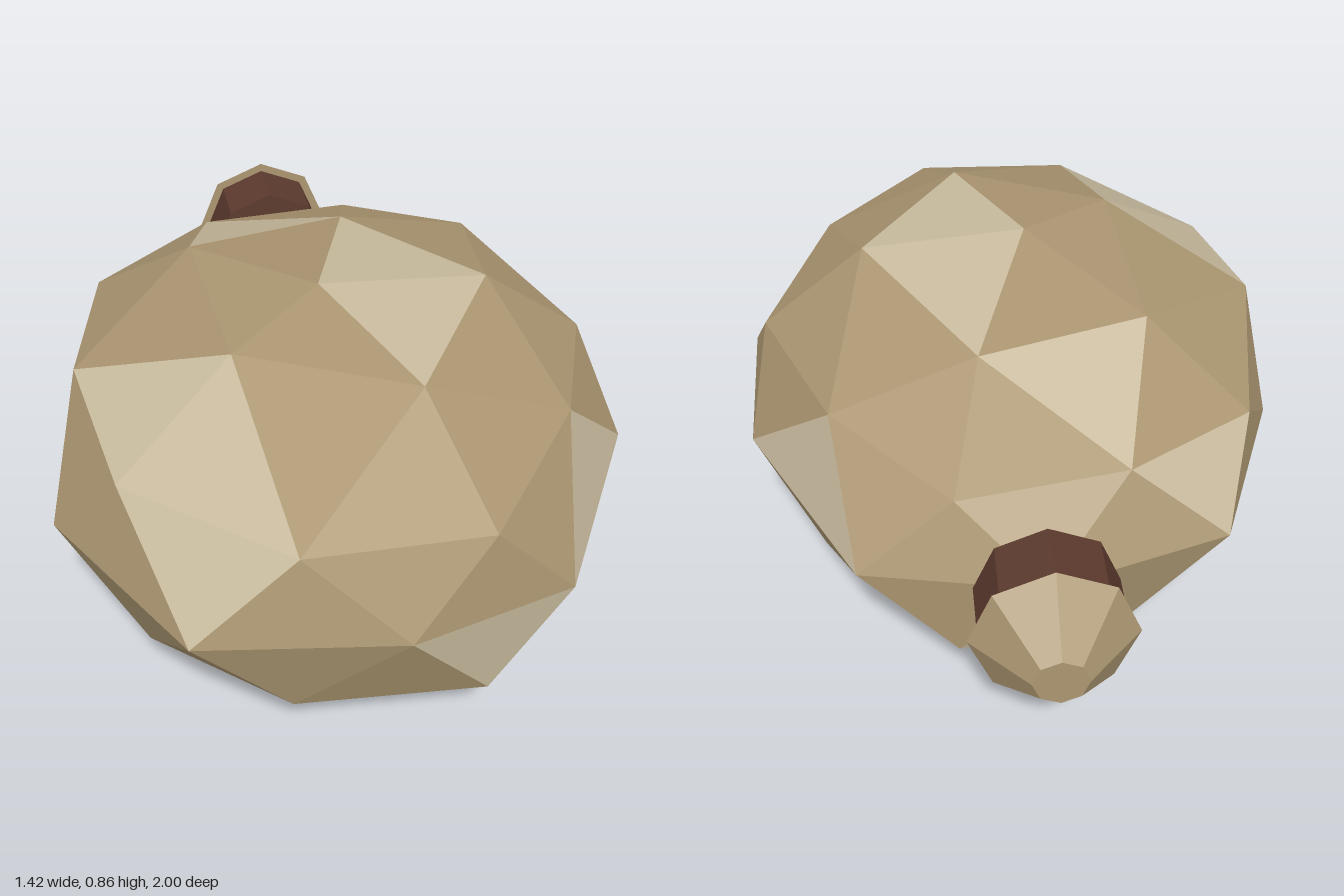
import * as THREE from 'three';

const mat = (name, color) => {
  const m = new THREE.MeshStandardMaterial({ color });
  m.name = name;
  return m;
};

// Cross-sections of the faceted body, top to bottom, each running from +x towards +z
const rings = {
  p: [[-0.03, 0.86, 0.19]],
  t: [[0.39, 0.83, 0.18], [0.13, 0.815, 0.59], [-0.27, 0.82, 0.39], [-0.3, 0.8, -0.15], [0.12, 0.785, -0.26]],
  u: [[0.655, 0.635, 0.15], [0.49, 0.68, 0.56], [0.21, 0.655, 0.92], [-0.21, 0.65, 0.91], [-0.56, 0.62, 0.56],
    [-0.625, 0.67, 0.16], [-0.535, 0.62, -0.32], [-0.21, 0.65, -0.545], [0.2, 0.635, -0.6], [0.48, 0.69, -0.33]],
  e: [[0.71, 0.435, 0.37], [0.41, 0.445, 0.89], [0.015, 0.45, 1], [-0.45, 0.45, 0.925], [-0.71, 0.42, 0.43],
    [-0.64, 0.44, -0.09], [-0.45, 0.45, -0.57], [0, 0.45, -0.71], [0.43, 0.455, -0.63], [0.695, 0.445, -0.1]],
  l: [[0.62, 0.225, 0.15], [0.53, 0.23, 0.62], [0.22, 0.195, 0.915], [-0.225, 0.215, 0.9], [-0.515, 0.18, 0.6],
    [-0.64, 0.22, 0.15], [-0.51, 0.2, -0.29], [-0.2, 0.22, -0.6], [0.2, 0.22, -0.66], [0.52, 0.235, -0.28]],
  b: [[0.32, 0.05, 0.41], [-0.12, 0.05, 0.6], [-0.4, 0.075, 0.15], [-0.12, 0.065, -0.34], [0.32, 0.06, -0.1]],
  q: [[0, 0, 0.18]],
};

// Facets painted in the lighter tone, named by their corners
const paleFacets = new Set(['p0t0t1', 'p0t0t4', 't3t4u7', 'e6u6u7', 't2u4u5', 't2u3u4', 'e3u3u4', 'e0e1u1',
  'e8e9u9', 'e1e2l2', 'e9l0l9', 'e7l7l8', 'b0b4q0', 'b3b4q0']);

function bodyFacets() {
  const faces = [];
  const id = (r, i) => r + ((i + rings[r].length) % rings[r].length);
  // One half of the body: pole, ring of five, ring of ten, then the shared equator
  const half = (pole, five, ten, shift, flip) => {
    const add = (a, b, c) => faces.push(flip ? [a, c, b] : [a, b, c]);
    for (let k = 0; k < 5; k++) {
      const j = 2 * k + shift;
      add(id(pole, 0), id(five, k + 1), id(five, k));
      add(id(five, k), id(ten, j + 1), id(ten, j));
      add(id(five, k), id(five, k + 1), id(ten, j + 1));
      add(id(five, k + 1), id(ten, j + 2), id(ten, j + 1));
    }
    for (let j = 0; j < 10; j++) {
      add(id(ten, j), id(ten, j + 1), id('e', j));
      add(id(ten, j + 1), id('e', j + 1), id('e', j));
    }
  };
  half('p', 't', 'u', 0, false);
  half('q', 'b', 'l', 1, true);
  return faces;
}

function facetMesh(name, faces, material) {
  const pos = faces.flat().flatMap((v) => rings[v[0]][+v[1]]);
  const g = new THREE.BufferGeometry();
  g.setAttribute('position', new THREE.Float32BufferAttribute(pos, 3));
  g.computeVertexNormals();
  const m = new THREE.Mesh(g, material);
  m.name = name;
  return m;
}

// Eight-sided piece lying along z, from z0 back to z1
function octagon(name, r0, r1, z0, z1, material) {
  const g = new THREE.CylinderGeometry(r1, r0, z0 - z1, 8).toNonIndexed();
  g.computeVertexNormals();
  g.rotateX(-Math.PI / 2);
  const m = new THREE.Mesh(g, material);
  m.position.set(0, 0.465, (z0 + z1) / 2);
  m.name = name;
  return m;
}

export function createModel() {
  const tan = mat('tan hide', 0xab9671);
  const pale = mat('pale hide', 0xc8bb9e);
  const brown = mat('brown neck', 0x5c3a2e);

  const model = new THREE.Group();
  model.name = 'flask';

  // Body
  const isPale = (f) => paleFacets.has([...f].sort().join(''));
  const faces = bodyFacets();
  const body = new THREE.Group();
  body.name = 'body';
  body.add(facetMesh('bodyHide', faces.filter((f) => !isPale(f)), tan));
  body.add(facetMesh('bodyPalePatches', faces.filter(isPale), pale));
  model.add(body);

  // Neck and stopper
  model.add(octagon('neck', 0.168, 0.168, -0.705, -0.866, brown));
  model.add(octagon('stopper', 0.192, 0.063, -0.866, -1, tan));
  return model;
}
